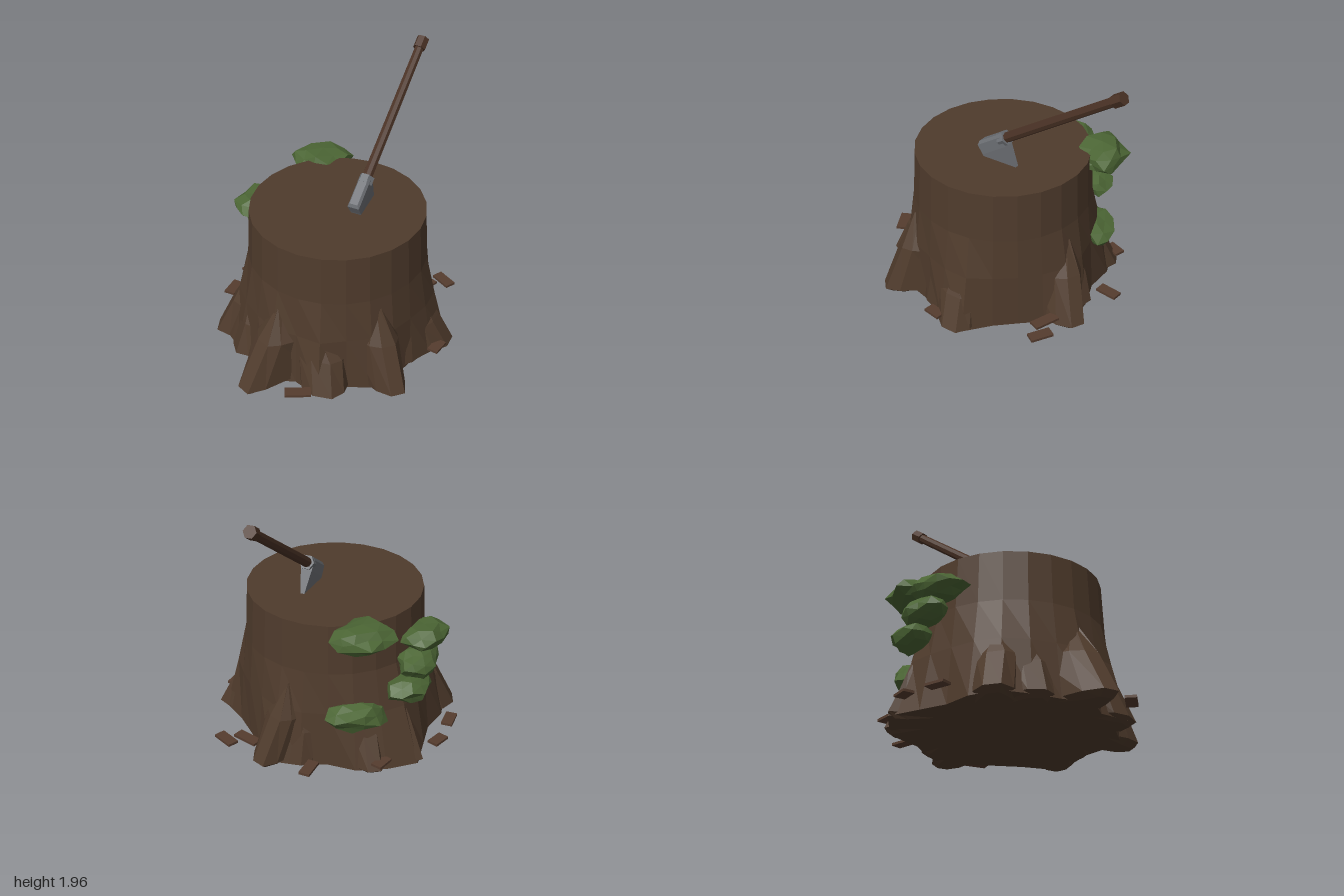
import * as THREE from 'three';

const mat = (name, color) => {
  const m = new THREE.MeshStandardMaterial({ color, flatShading: true });
  m.name = name;
  return m;
};
const rad = THREE.MathUtils.degToRad;

// Skin over closed rings of [x, y, z] points, with capped ends and flat faces
function loft(rings) {
  const pos = [];
  const n = rings[0].length;
  const tri = (...pts) => pts.forEach((p) => pos.push(...p));
  const centre = (r) => [0, 1, 2].map((k) => r.reduce((s, p) => s + p[k], 0) / n);
  for (let j = 0; j < n; j++) {
    const k = (j + 1) % n;
    for (let i = 0; i < rings.length - 1; i++) {
      const [lo, hi] = [rings[i], rings[i + 1]];
      tri(lo[j], hi[j], hi[k]);
      tri(lo[j], hi[k], lo[k]);
    }
    const [first, last] = [rings[0], rings[rings.length - 1]];
    tri(centre(first), first[j], first[k]);
    tri(centre(last), last[k], last[j]);
  }
  const g = new THREE.BufferGeometry();
  g.setAttribute('position', new THREE.Float32BufferAttribute(pos, 3));
  g.computeVertexNormals();
  return g;
}

// Trunk: round at the cut, swelling irregularly towards the ground
function trunkGeometry() {
  const foot = [0.7, 0.67, 0.69, 0.8, 0.74, 0.67, 0.7, 0.74, 0.69, 0.8, 0.7, 0.8,
    0.74, 0.77, 0.83, 0.78, 0.71, 0.76, 0.88, 0.82, 0.77, 0.69, 0.74, 0.79];
  const levels = [[0.02, 1, 0.66], [0.42, 0.32, 0.655], [0.72, 0, 0.637], [1.08, 0, 0.62]];
  return loft(levels.map(([y, swell, r]) => foot.map((f, i) => {
    const a = (i / foot.length) * Math.PI * 2;
    const d = r + (f - r) * swell;
    return [Math.cos(a) * d, y, Math.sin(a) * d];
  })));
}

// Buttress root: a wedge leaning from the trunk wall out to a blunt toe,
// its underside rising into the trunk behind the toe
function rootGeometry(reach, toe, base, peak, lean) {
  const levels = [
    [0, reach - 0.05, toe * 0.7, base * 0.65, 0],
    [0.04, reach, toe, base, 0],
    [peak * 0.6, 0.66 + (reach - 0.66) * 0.43, toe, base * 1.05, lean * 0.6],
    [peak, 0.65, 0.015, 0.03, lean],
  ];
  return loft(levels.map(([y, r, t, b, s]) => {
    const back = Math.max(y, 0.03);
    const shoulder = 0.23 * (r - 0.5);
    return [
      [0.5, back, s - b], [r - shoulder, y, s - t], [r, y, s - t * 0.5],
      [r - 0.015, y, s + t * 0.4], [r - shoulder * 1.2, y, s + t], [0.5, back, s + b],
    ];
  }));
}

// Moss clump: faceted ball pushed in and out by a position-based rule
function mossGeometry(seed, sx, sy, sz) {
  const g = new THREE.IcosahedronGeometry(1, 1);
  const p = g.attributes.position;
  const v = new THREE.Vector3();
  for (let i = 0; i < p.count; i++) {
    v.fromBufferAttribute(p, i);
    const key = Math.round(v.x * 50) * 12.99 + Math.round(v.y * 50) * 78.23 + Math.round(v.z * 50) * 37.7;
    const h = Math.sin(key + seed * 5.1) * 43758.5;
    v.multiplyScalar(0.8 + 0.36 * (h - Math.floor(h)));
    p.setXYZ(i, v.x * sx, v.y * sy, v.z * sz);
  }
  g.computeVertexNormals();
  return g;
}

export function createModel() {
  const bark = mat('bark brown', 0x4f3b2c);
  const handleWood = mat('handle brown', 0x4a3225);
  const chipWood = mat('chip brown', 0x553c2e);
  const steel = mat('steel grey', 0x6d7075);
  const green = mat('moss green', 0x4b6534);

  const model = new THREE.Group();
  model.name = 'stumpWithAxe';
  const add = (parent, name, geometry, material, x = 0, y = 0, z = 0) => {
    const m = new THREE.Mesh(geometry, material);
    m.name = name;
    m.position.set(x, y, z);
    parent.add(m);
    return m;
  };

  // Stump and roots: [angle, reach, toe half width, base half width, peak, lean]
  const stump = new THREE.Group();
  stump.name = 'stump';
  stump.position.x = -0.03;
  model.add(stump);
  add(stump, 'trunk', trunkGeometry(), bark);
  [
    [167, 1, 0.12, 0.22, 0.6, -0.03],
    [194, 0.81, 0.13, 0.15, 0.45, 0.03],
    [213, 0.89, 0.13, 0.2, 0.52, 0],
    [133, 0.83, 0.15, 0.2, 0.45, 0.04],
    [97.5, 0.9, 0.11, 0.18, 0.63, 0.01],
    [51, 0.85, 0.13, 0.19, 0.43, 0.03],
    [71, 0.71, 0.13, 0.15, 0.42, -0.03],
    [348, 0.89, 0.11, 0.18, 0.61, -0.09],
    [333, 0.76, 0.12, 0.18, 0.45, 0],
    [269, 0.89, 0.05, 0.17, 0.55, 0.02],
    [292, 0.85, 0.1, 0.17, 0.45, 0],
  ].forEach(([deg, ...shape]) => {
    add(stump, 'root', rootGeometry(...shape), bark).rotation.y = -rad(deg);
  });

  // Axe: local y runs along the handle, local x points to the cutting edge
  const axe = new THREE.Group();
  axe.name = 'axe';
  const along = new THREE.Vector3(0.82, 0.665, -0.445).normalize();
  const flat = new THREE.Vector3(along.x, 0, along.z);
  const run = flat.length();
  const edge = flat.normalize().multiplyScalar(along.y).setY(-run);
  axe.quaternion.setFromRotationMatrix(
    new THREE.Matrix4().makeBasis(edge, along, edge.clone().cross(along)));
  axe.position.set(0.14, 1.255, 0.08);
  model.add(axe);
  add(axe, 'handle', new THREE.CylinderGeometry(0.033, 0.037, 1.12, 8), handleWood, 0, 0.56, 0);
  add(axe, 'handleKnob', new THREE.CylinderGeometry(0.046, 0.046, 0.085, 6), handleWood, 0, 1.115, 0);
  add(axe, 'collar', new THREE.CylinderGeometry(0.054, 0.054, 0.06, 6), steel, 0, 0.02, 0);

  // Axe head: rectangles across the blade, thinning to the edge
  const slices = [
    [-0.045, -0.185, 0.01, 0.03], [-0.025, -0.205, 0.025, 0.043],
    [0.05, -0.21, 0.025, 0.04], [0.28, -0.24, -0.01, 0.004],
  ];
  add(axe, 'axeHead', loft(slices.map(([x, y0, y1, t]) => [
    [x, y0, -t], [x, y0, t], [x, y1, t], [x, y1, -t],
  ])), steel);

  // Moss clumps on the back, turned to follow the trunk: [x, y, z, half sizes]
  [
    [0.27, 1.03, -0.62, 0.22, 0.1, 0.18],
    [-0.28, 0.86, -0.64, 0.22, 0.09, 0.17],
    [-0.17, 0.72, -0.71, 0.18, 0.1, 0.14],
    [-0.06, 0.57, -0.74, 0.17, 0.1, 0.13],
    [0.27, 0.41, -0.6, 0.22, 0.11, 0.14],
  ].forEach(([x, y, z, ...size], i) => {
    add(model, 'moss', mossGeometry(i + 1, ...size), green, x, y, z)
      .rotation.y = Math.atan2(x, z);
  });

  // Wood chips: [x, z, direction in the ground plane, length]
  [
    [-0.73, 0.52, 0.17, 0.11, 0.18], [0.35, 0.69, 0.13, -0.05, 0.13],
    [0.87, 0.12, 0, 1, 0.165], [0.75, 0.03, 0.03, 0.17, 0.19],
    [0.65, -0.52, 0.15, -0.07, 0.16], [-0.49, -0.72, 0.14, -0.08, 0.15],
    [-0.25, -0.85, 0.14, -0.02, 0.13], [0.23, -0.79, 0.14, -0.03, 0.13],
  ].forEach(([x, z, dx, dz, len]) => {
    add(model, 'woodChip', new THREE.BoxGeometry(len, 0.018, 0.08), chipWood, x, 0.1, z)
      .rotation.y = -Math.atan2(dz, dx);
  });
  return model;
}
